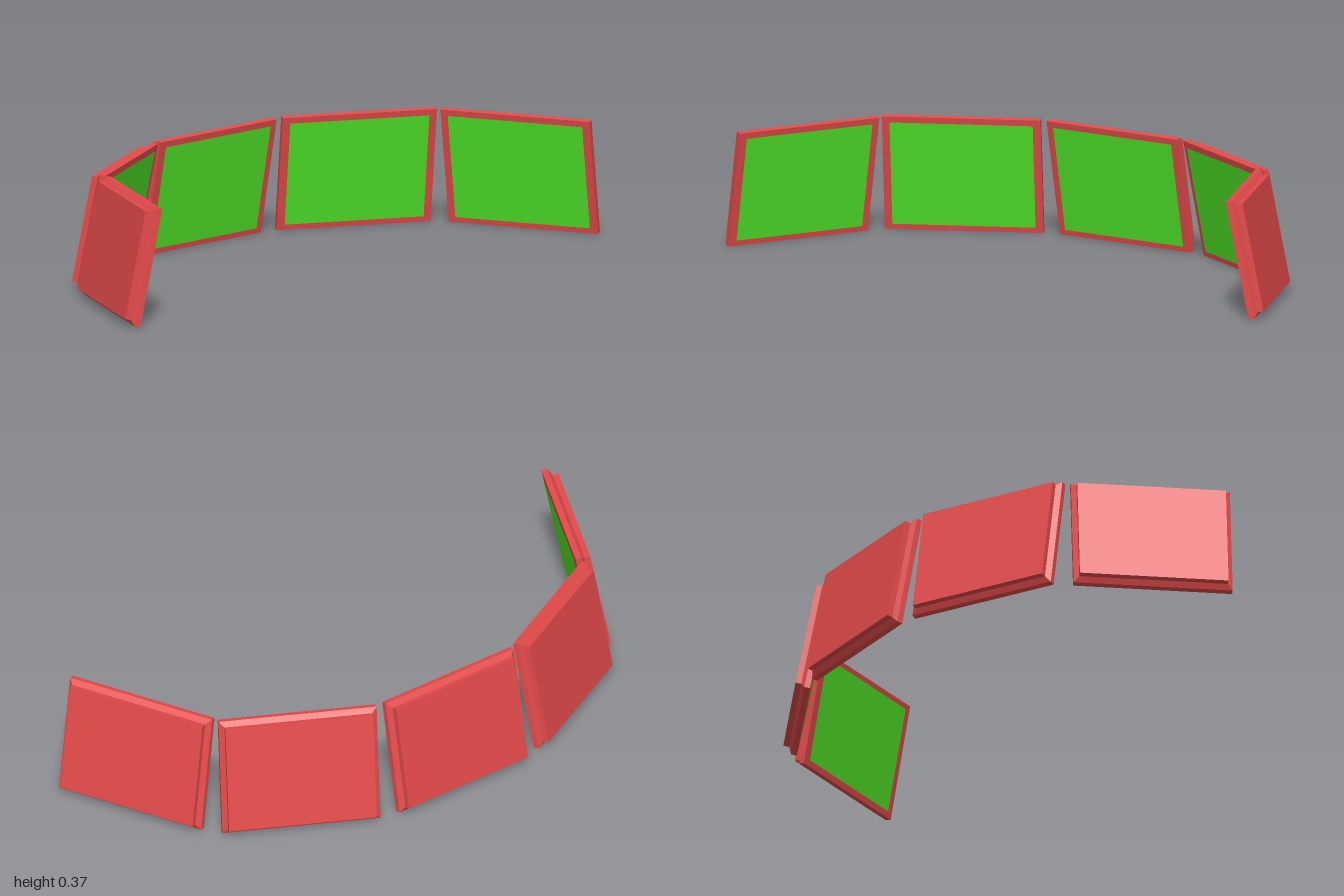
import * as THREE from 'three';

const W = 0.488, H = 0.37;       // outer size of a display
const FRAME = 0.018, BEVEL = 0.011, BLOCK = 0.018; // layer depths, front to back
const INSET = 0.016;             // how far the rear block steps in
const TILT = THREE.MathUtils.degToRad(11);

export function createModel() {
  const red = new THREE.MeshStandardMaterial({ color: 0xe44a4a });
  red.name = 'casingRed';
  const green = new THREE.MeshStandardMaterial({ color: 0x50e628 });
  green.name = 'screenGreen';

  // Shared layer geometries
  const frameGeo = new THREE.BoxGeometry(W, H, FRAME);
  const blockGeo = new THREE.BoxGeometry(W - 2 * INSET, H - 2 * INSET, BLOCK);
  const screenGeo = new THREE.PlaneGeometry(W - 0.048, H - 0.036);

  // Sloped step between frame and rear block: a box with its rear face shrunk
  const bevelGeo = new THREE.BoxGeometry(W, H, BEVEL);
  const p = bevelGeo.attributes.position;
  for (let i = 0; i < p.count; i++) {
    if (p.getZ(i) < 0) {
      p.setX(i, p.getX(i) - Math.sign(p.getX(i)) * INSET);
      p.setY(i, p.getY(i) - Math.sign(p.getY(i)) * INSET);
    }
  }
  bevelGeo.computeVertexNormals();

  // One display, its front face at local z = 0
  function display(name) {
    const g = new THREE.Group();
    g.name = name;
    const add = (part, geo, mat, z) => {
      const m = new THREE.Mesh(geo, mat);
      m.name = part;
      m.position.z = z;
      g.add(m);
    };
    add('screen', screenGeo, green, 0.003);
    add('frame', frameGeo, red, -FRAME / 2);
    add('rearBevel', bevelGeo, red, -FRAME - BEVEL / 2);
    add('rearBlock', blockGeo, red, -FRAME - BEVEL - BLOCK / 2);
    return g;
  }

  // Five displays in an arc, each leaning forward: name, x, z, yaw in degrees
  const layout = [
    ['outerRightDisplay', -0.83, 0.167, 65],
    ['innerRightDisplay', -0.501, -0.204, 27.5],
    ['centreDisplay', -0.007, -0.328, 0],
    ['innerLeftDisplay', 0.493, -0.209, -27.5],
    ['outerLeftDisplay', 0.83, 0.154, -65],
  ];
  const model = new THREE.Group();
  model.name = 'curvedDisplayWall';
  for (const [name, x, z, yaw] of layout) {
    const d = display(name);
    d.position.set(x, 0.1815, z);
    d.rotation.set(TILT, THREE.MathUtils.degToRad(yaw), 0, 'YXZ');
    model.add(d);
  }
  return model;
}
